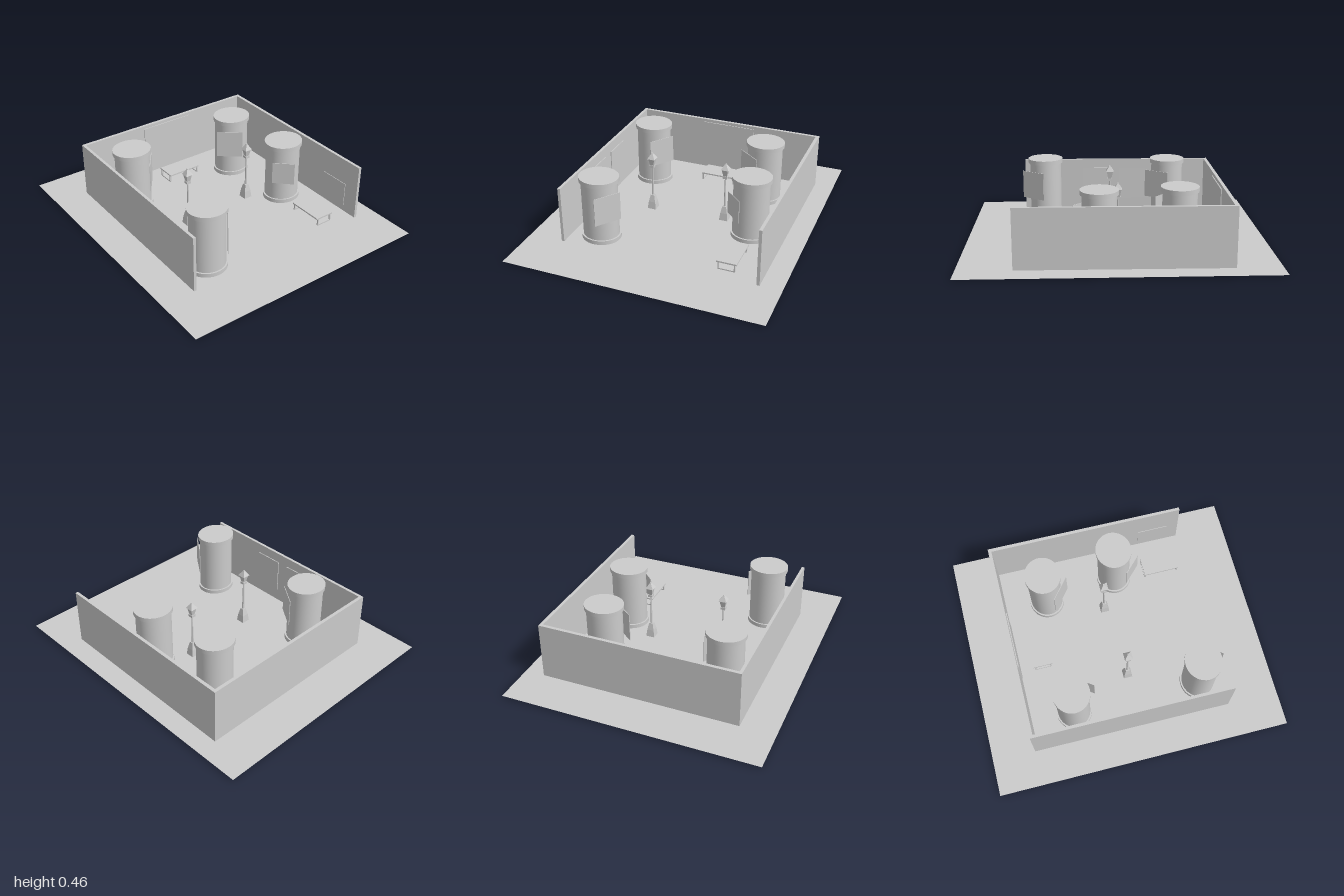
import * as THREE from 'three';

const material = new THREE.MeshStandardMaterial({ color: 0xcccccc, side: THREE.DoubleSide });
const flat = new THREE.MeshStandardMaterial({ color: 0xcccccc, flatShading: true });
const FLOOR = 0.008;

function add(parent, name, geometry, x = 0, y = 0, z = 0, mat = material) {
  const mesh = new THREE.Mesh(geometry, mat);
  mesh.name = name;
  mesh.position.set(x, y, z);
  parent.add(mesh);
  return mesh;
}

function addBox(parent, name, w, h, d, x, y, z) {
  return add(parent, name, new THREE.BoxGeometry(w, h, d), x, y, z);
}

// Upright panel spanning two floor points, from height y0 to y1
function addPanel(parent, name, [x0, z0], [x1, z1], y0, y1, thickness) {
  const length = Math.hypot(x1 - x0, z1 - z0);
  const panel = addBox(parent, name, length, y1 - y0, thickness,
    (x0 + x1) / 2, (y0 + y1) / 2, (z0 + z1) / 2);
  panel.rotation.y = -Math.atan2(z1 - z0, x1 - x0);
  return panel;
}

// Slightly oval advertising column with base ring and cap
function makeColumn(x, z, height) {
  const column = new THREE.Group();
  column.name = 'column';
  const drum = (name, r, y0, y1) =>
    add(column, name, new THREE.CylinderGeometry(r, r, y1 - y0, 40), 0, (y0 + y1) / 2, 0);
  drum('columnBase', 0.132, 0.005, 0.036);
  drum('columnBody', 0.121, 0.036, height - 0.03);
  drum('columnCap', 0.133, height - 0.03, height);
  column.position.set(x, 0, z);
  column.scale.z = 0.92;
  return column;
}

// Square street lamp, stacked from four-sided tapers
function makeLamp(x, z) {
  const lamp = new THREE.Group();
  lamp.name = 'streetLamp';
  const taper = (name, bottom, top, y0, y1, sides = 4) => {
    const k = sides === 4 ? Math.SQRT2 : 1;
    const g = new THREE.CylinderGeometry(top * k, bottom * k, y1 - y0, sides);
    if (sides === 4) g.rotateY(Math.PI / 4);
    add(lamp, name, g, 0, (y0 + y1) / 2, 0, flat);
  };
  taper('lampFoot', 0.031, 0.024, 0, 0.06);
  taper('lampPlinth', 0.024, 0.013, 0.06, 0.11);
  taper('lampPole', 0.008, 0.005, 0.11, 0.33, 8);
  taper('lampCollar', 0.016, 0.016, 0.325, 0.342);
  taper('lampGlass', 0.012, 0.022, 0.342, 0.392);
  taper('lampRoof', 0.027, 0.007, 0.392, 0.425);
  taper('lampFinial', 0.007, 0.003, 0.425, 0.434);
  lamp.position.set(x, 0, z);
  return lamp;
}

// Low bench: seat board on two closed rectangular end frames
function makeBench(x, z, turn) {
  const bench = new THREE.Group();
  bench.name = 'bench';
  addBox(bench, 'benchSeat', 0.248, 0.01, 0.135, 0, 0.069, 0);
  for (const side of [-1, 1]) {
    const ex = side * 0.118;
    addBox(bench, 'benchFrameBottom', 0.01, 0.008, 0.115, ex, 0.018, 0);
    for (const s of [-1, 1]) addBox(bench, 'benchLeg', 0.01, 0.05, 0.008, ex, 0.039, s * 0.0535);
  }
  bench.position.set(x, 0, z);
  bench.rotation.y = turn;
  return bench;
}

export function createModel() {
  const model = new THREE.Group();
  model.name = 'plaza';

  const floor = add(model, 'floor', new THREE.PlaneGeometry(1.73, 2), 0, FLOOR, 0);
  floor.rotation.x = -Math.PI / 2;

  // Three-sided wall, open at the front
  const plan = [[-0.635, 0.65], [-0.63, -0.71], [0.73, -0.71], [0.72, 0.65],
    [0.70, 0.65], [0.707, -0.688], [-0.61, -0.688], [-0.616, 0.65]];
  const outline = new THREE.Shape(plan.map(([x, z]) => new THREE.Vector2(x, -z)));
  const wallGeometry = new THREE.ExtrudeGeometry(outline, { depth: 0.392, bevelEnabled: false });
  wallGeometry.rotateX(-Math.PI / 2);
  add(model, 'wall', wallGeometry, 0, FLOOR, 0);

  // Columns, each with a panel standing off its side
  const columns = [
    { at: [-0.42, -0.39], h: 0.448, from: [-0.27, -0.385], to: [-0.38, -0.23], y: [0.175, 0.37] },
    { at: [0.425, -0.39], h: 0.448, from: [0.265, -0.35], to: [0.41, -0.235], y: [0.175, 0.375] },
    { at: [0.49, 0.12], h: 0.448, from: [0.35, 0.18], to: [0.46, 0.285], y: [0.18, 0.34] },
    { at: [-0.42, 0.49], h: 0.455, from: [-0.27, 0.5], to: [-0.38, 0.65], y: [0.175, 0.37] },
  ];
  for (const c of columns) {
    model.add(makeColumn(...c.at, c.h));
    addPanel(model, 'columnPoster', c.from, c.to, ...c.y, 0.004);
  }

  // Posters on the walls
  addPanel(model, 'backWallPoster', [-0.14, -0.682], [0.25, -0.682], 0.12, 0.38, 0.006);
  addPanel(model, 'sideWallPoster', [-0.606, -0.25], [-0.606, -0.05], 0.1, 0.335, 0.006);
  addPanel(model, 'sideWallPoster', [-0.606, 0.03], [-0.606, 0.22], 0.1, 0.335, 0.006);
  addPanel(model, 'sideWallPoster', [0.678, 0.35], [0.678, 0.56], 0.07, 0.24, 0.004);

  model.add(makeLamp(-0.25, 0.03), makeLamp(0.267, -0.005));
  model.add(makeBench(0.053, -0.527, 0), makeBench(0.483, 0.46, Math.PI / 2));

  return model;
}
